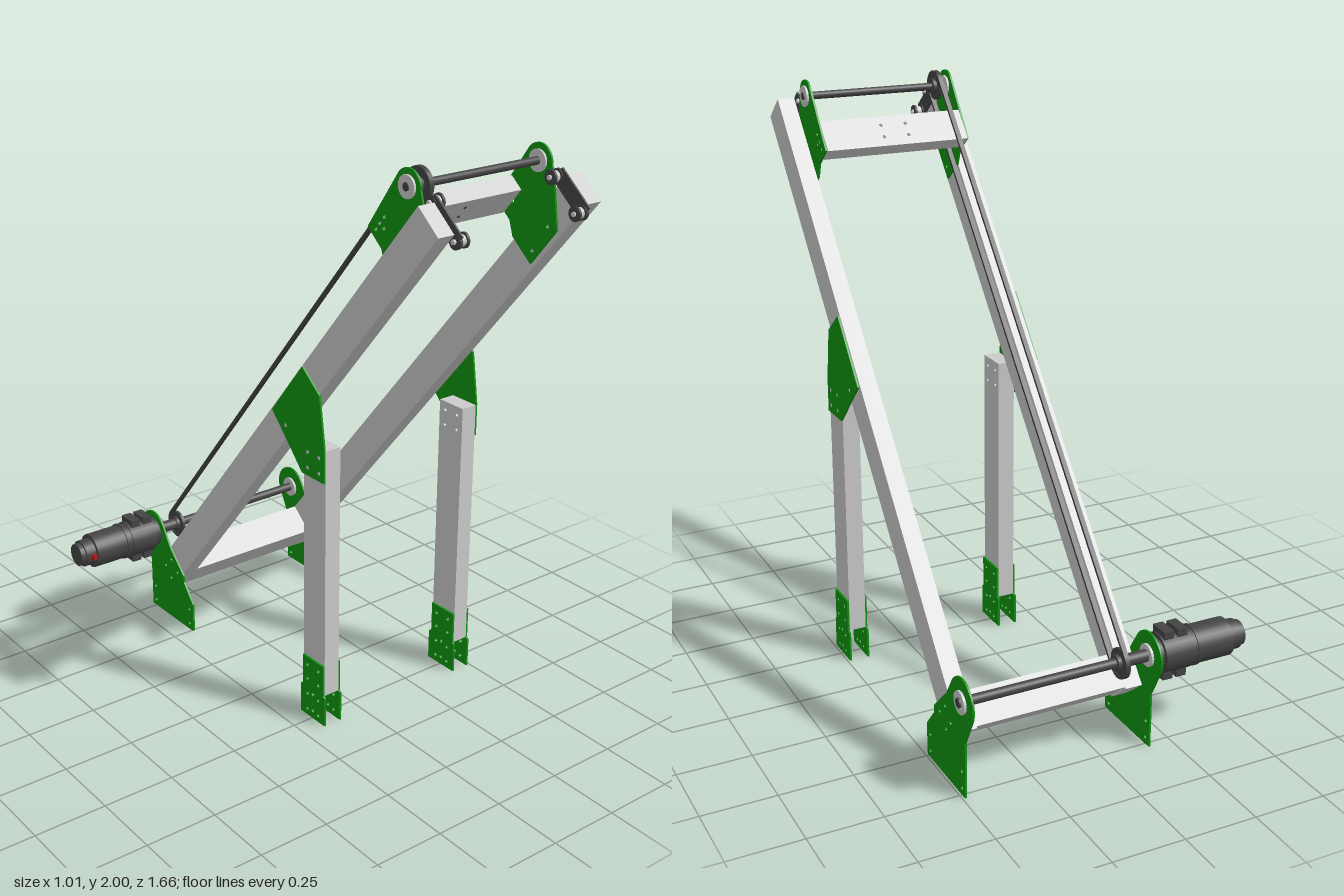
import * as THREE from 'three';

const GREY = 0xcccccc, GREEN = 0x0f930f, DARK = 0x444444, RED = 0xb01818;
const mats = {};
const mat = (c) => (mats[c] ??= new THREE.MeshStandardMaterial({ color: c }));

// Centre lines of the two side frames and half the beam thickness
const SIDES = [-0.135, 0.455], HALF = 0.03, T = 0.007;
const LOW = [-0.75, 0.33], HIGH = [0.608, 1.947];

// Point [z, y]: s runs down the inclined beam, n across it from its upper edge
const at = (s, n) => [0.722 - 0.643 * s + 0.766 * n, 1.924 - 0.766 * s - 0.643 * n];

function mesh(parent, name, geo, color) {
  const m = new THREE.Mesh(geo, mat(color));
  m.name = name;
  parent.add(m);
  return m;
}

// Side profile in [z, y], extruded along x and centred on x
function slab(parent, name, profile, x, width, color, holes = [], r = 0.007) {
  const shape = profile instanceof THREE.Shape ? profile
    : new THREE.Shape(profile.map((p) => new THREE.Vector2(...p)));
  for (const [z, y] of holes) {
    shape.holes.push(new THREE.Path().absarc(z, y, r, 0, Math.PI * 2, true));
  }
  const geo = new THREE.ExtrudeGeometry(shape, { depth: width, bevelEnabled: false, curveSegments: 10 });
  geo.translate(0, 0, -width / 2).rotateY(-Math.PI / 2);
  return mesh(parent, name, geo, color).position.setX(x);
}

// Cylinder lying along x from x0 to x1
function rod(parent, name, x0, x1, r, [z, y], color = DARK, seg = 24) {
  const geo = new THREE.CylinderGeometry(r, r, Math.abs(x1 - x0), seg).rotateZ(Math.PI / 2);
  mesh(parent, name, geo, color).position.set((x0 + x1) / 2, y, z);
}

// Ring lying along x
function ring(parent, name, x, width, rOut, rIn, c, color) {
  const s = new THREE.Shape().absarc(...c, rOut, 0, Math.PI * 2);
  slab(parent, name, s, x, width, color, [c], rIn);
}

const rect = (z0, z1, y0, y1) => [[z0, y0], [z1, y0], [z1, y1], [z0, y1]];
const beamRect = (s0, s1, n0, n1) => [at(s0, n0), at(s0, n1), at(s1, n1), at(s1, n0)];

function baseShape() {
  const s = new THREE.Shape();
  s.moveTo(-0.495, 0.005);
  s.lineTo(-0.49, 0.012);
  s.lineTo(-0.49, 0.12);
  s.lineTo(-0.548, 0.19);
  s.lineTo(-0.548, 0.215);
  s.lineTo(-0.64, 0.305);
  s.absarc(...LOW, 0.08, 0.6, 3.5, false);
  s.lineTo(-0.772, 0.2);
  s.lineTo(-0.772, 0.005);
  return s;
}

function headShape() {
  const s = new THREE.Shape();
  s.moveTo(0.43, 1.79);
  s.lineTo(0.495, 1.735);
  s.lineTo(0.512, 1.685);
  s.lineTo(0.595, 1.615);
  s.lineTo(0.7, 1.745);
  s.lineTo(0.68, 1.88);
  s.absarc(...HIGH, 0.055, 0, 2.45, false);
  return s;
}

function sideFrame(cx, out) {
  const g = new THREE.Group();
  g.name = out < 0 ? 'rightFrame' : 'leftFrame';
  const outer = cx + out * (HALF + T / 2), inner = cx - out * (HALF + T / 2);

  // Inclined beam and upright leg
  slab(g, 'inclinedBeam', beamRect(0, 2.243, 0, 0.115), cx, HALF * 2, GREY,
    [[0.03, 0.03], [0.03, 0.06], [0.03, 0.09], [0.07, 0.03], [0.07, 0.09], [0.24, 0.03], [0.24, 0.09]]
      .map((p) => at(...p)), 0.006);
  slab(g, 'leg', rect(0.195, 0.31, 0.12, 1.03), cx, HALF * 2, GREY,
    [[0.223, 0.945], [0.283, 0.945], [0.223, 1.0], [0.283, 1.0]], 0.006);

  // Gusset joining leg and beam
  slab(g, 'gusset', [[0.193, 1.288], [0.283, 1.215], [0.31, 1.035], [0.31, 0.917], [0.193, 0.917],
    [0.103, 1.013], [0.03, 1.088]], outer, T, GREEN,
  [[0.223, 0.945], [0.283, 0.945], [0.223, 1.0], [0.283, 1.0], [0.205, 1.245], [0.24, 1.215],
    [0.07, 1.085], [0.105, 1.055]]);

  // Foot plates on both faces of the leg
  const footHoles = [0.03, 0.09, 0.15, 0.205].flatMap((y) => [[0.223, y], [0.283, y]]);
  footHoles.push([0.253, 0.035], [0.253, 0.1]);
  for (const x of [outer, inner]) {
    slab(g, 'footPlate', [[0.185, 0.005], [0.318, 0.005], [0.318, 0.115], [0.31, 0.12], [0.31, 0.235],
      [0.197, 0.235], [0.197, 0.12], [0.185, 0.115]], x, T, GREEN, footHoles);
  }

  // Rear base plate and head plate carrying the shafts
  slab(g, 'basePlate', baseShape(), outer, T, GREEN,
    [[-0.515, 0.03], [-0.515, 0.09], [-0.75, 0.03], [-0.75, 0.09], [-0.59, 0.215], [-0.63, 0.255],
      [-0.635, 0.175], [-0.67, 0.215]]);
  slab(g, 'headPlate', headShape(), inner, T, GREEN,
    [[0.505, 1.835], [0.485, 1.812], [0.468, 1.79], [0.505, 1.8], [0.6, 1.66], [0.66, 1.75]]);
  ring(g, 'lowerBearing', outer, 0.024, 0.038, 0.018, LOW, GREY);
  ring(g, 'upperBearing', inner, 0.022, 0.036, 0.014, HIGH, GREY);

  // Guide rollers at the top of the beam
  const x = (d) => inner - out * d;
  slab(g, 'rollerBracket', beamRect(-0.012, 0.045, -0.02, 0.135), x(0.008), 0.006, DARK);
  for (const n of [-0.015, 0.125]) {
    const c = at(0.022, n);
    rod(g, 'rollerAxle', x(-0.004), x(0.048), 0.008, c, GREY, 12);
    rod(g, 'rollerFlange', x(0.004), x(0.014), 0.024, c, DARK);
    rod(g, 'roller', x(0.016), x(0.034), 0.018, c, GREY);
    rod(g, 'rollerFlange', x(0.034), x(0.042), 0.024, c, DARK);
  }
  return g;
}

function belt() {
  const path = (Type, r) => {
    const s = new Type(), a = Math.atan2(0.643, -0.766);
    s.absarc(...HIGH, r, a - Math.PI, a, false);
    s.absarc(...LOW, r, a, a + Math.PI, false);
    s.closePath();
    return s;
  };
  const s = path(THREE.Shape, 0.055);
  s.holes.push(path(THREE.Path, 0.045));
  return s;
}

function motor() {
  const g = new THREE.Group();
  g.name = 'motor';
  rod(g, 'mountFlange', -0.2, -0.172, 0.055, LOW);
  rod(g, 'gearbox', -0.3, -0.195, 0.068, LOW);
  rod(g, 'motorBody', -0.452, -0.3, 0.064, LOW, DARK, 32);
  rod(g, 'bodyBand', -0.325, -0.315, 0.068, LOW, DARK, 32);
  rod(g, 'endCap', -0.492, -0.452, 0.05, LOW);
  rod(g, 'endCover', -0.51, -0.492, 0.042, LOW);
  // Clamping lugs above and below the gearbox
  for (const dy of [-1, 1]) {
    for (const lx of [-0.27, -0.22]) {
      mesh(g, 'gearboxLug', new THREE.BoxGeometry(0.036, 0.04, 0.07), DARK)
        .position.set(lx, LOW[1] + dy * 0.065, LOW[0]);
    }
  }
  mesh(g, 'terminal', new THREE.BoxGeometry(0.016, 0.018, 0.02), RED)
    .position.set(-0.465, LOW[1], LOW[0] + 0.055);
  return g;
}

export function createModel() {
  const model = new THREE.Group();
  model.name = 'inclinedLiftFrame';
  SIDES.forEach((cx, i) => model.add(sideFrame(cx, i ? 1 : -1)));

  // Cross bars between the frames
  const mid = (SIDES[0] + SIDES[1]) / 2;
  slab(model, 'lowerCrossBar', beamRect(2.122, 2.237, 0, 0.115), mid, 0.53, GREY);
  slab(model, 'upperCrossBar', beamRect(0.18, 0.295, -0.143, -0.085), mid, 0.516, GREY);
  for (const x of [0.115, 0.205]) {
    for (const s of [0.215, 0.26]) {
      const [z, y] = at(s, -0.114);
      const hole = mesh(model, 'barHole', new THREE.CylinderGeometry(0.006, 0.006, 0.0595, 12), DARK);
      hole.position.set(x, y, z);
      hole.rotation.x = Math.atan2(0.766, -0.643);
    }
  }

  // Shafts, pulleys and belt
  rod(model, 'lowerShaft', -0.2, 0.505, 0.016, LOW);
  rod(model, 'shaftSleeve', -0.165, -0.045, 0.021, LOW);
  rod(model, 'upperShaft', -0.115, 0.435, 0.013, HIGH);
  for (const c of [LOW, HIGH]) {
    rod(model, 'pulley', -0.066, -0.056, 0.047, c, DARK, 32);
    rod(model, 'pulleyHub', -0.079, -0.043, 0.027, c);
  }
  slab(model, 'belt', belt(), -0.061, 0.016, DARK);
  model.add(motor());
  return model;
}
